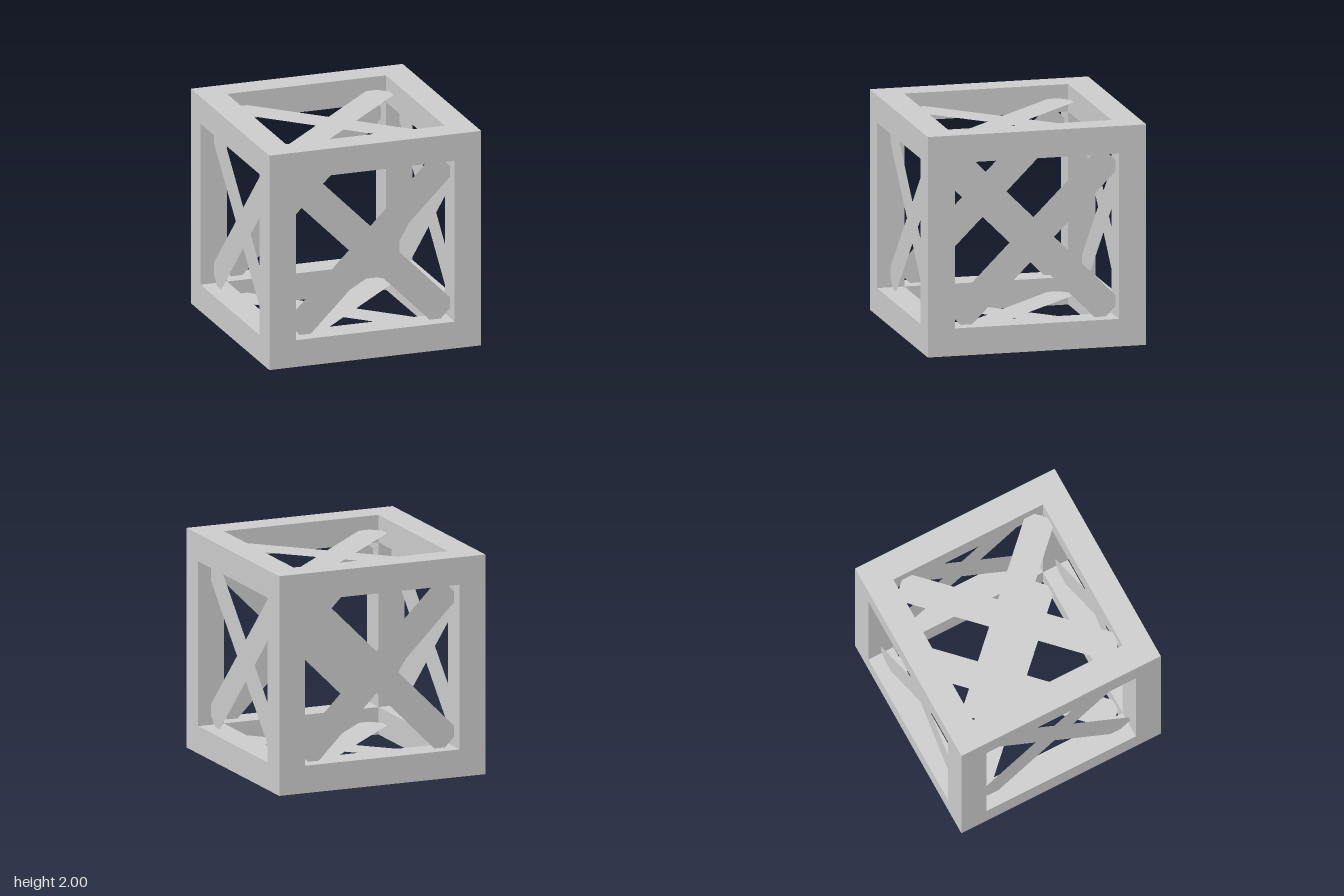
import * as THREE from 'three';

const SIZE = 2, BEAM = 0.25, INNER = SIZE - 2 * BEAM;
const OFFSET = (SIZE - BEAM) / 2; // beam centre lines and brace planes
const BRACE_LENGTH = 2, BRACE_WIDTH = 0.268;

// Flat X built as a plus outline turned by 45 degrees
function crossGeometry() {
  const l = BRACE_LENGTH / 2, w = BRACE_WIDTH / 2;
  const points = [];
  for (let i = 0; i < 4; i++) {
    for (const [x, y] of [[l, -w], [l, w], [w, w]]) {
      points.push(new THREE.Vector2(x, y).rotateAround(new THREE.Vector2(), Math.PI / 4 + i * Math.PI / 2));
    }
  }
  return new THREE.ShapeGeometry(new THREE.Shape(points));
}

export function createModel() {
  const model = new THREE.Group();
  model.name = 'bracedCubeFrame';
  const frameMaterial = new THREE.MeshStandardMaterial({ color: 0xcccccc, flatShading: true });
  const braceMaterial = new THREE.MeshStandardMaterial({ color: 0xcccccc, side: THREE.DoubleSide });

  const add = (geometry, material, name, x, y, z) => {
    const mesh = new THREE.Mesh(geometry, material);
    mesh.name = name;
    mesh.position.set(x, y + SIZE / 2, z);
    model.add(mesh);
    return mesh;
  };

  // Twelve square beams: full-height posts with rails butted between them
  const post = new THREE.BoxGeometry(BEAM, SIZE, BEAM);
  const crossRail = new THREE.BoxGeometry(INNER, BEAM, BEAM);
  const sideRail = new THREE.BoxGeometry(BEAM, BEAM, INNER);
  for (const a of [-OFFSET, OFFSET]) {
    for (const b of [-OFFSET, OFFSET]) {
      add(post, frameMaterial, 'cornerPost', a, 0, b);
      add(crossRail, frameMaterial, 'crossRail', 0, a, b);
      add(sideRail, frameMaterial, 'sideRail', a, b, 0);
    }
  }

  // Thin X brace set midway into the depth of each face
  const cross = crossGeometry();
  const faces = [
    ['frontBrace', 0, 0, 1], ['backBrace', 0, 0, -1],
    ['leftBrace', 1, 0, 0], ['rightBrace', -1, 0, 0],
    ['topBrace', 0, 1, 0], ['bottomBrace', 0, -1, 0],
  ];
  for (const [name, x, y, z] of faces) {
    const brace = add(cross, braceMaterial, name, x * OFFSET, y * OFFSET, z * OFFSET);
    brace.rotation.set(-y * Math.PI / 2, z < 0 ? Math.PI : x * Math.PI / 2, 0);
  }
  return model;
}
